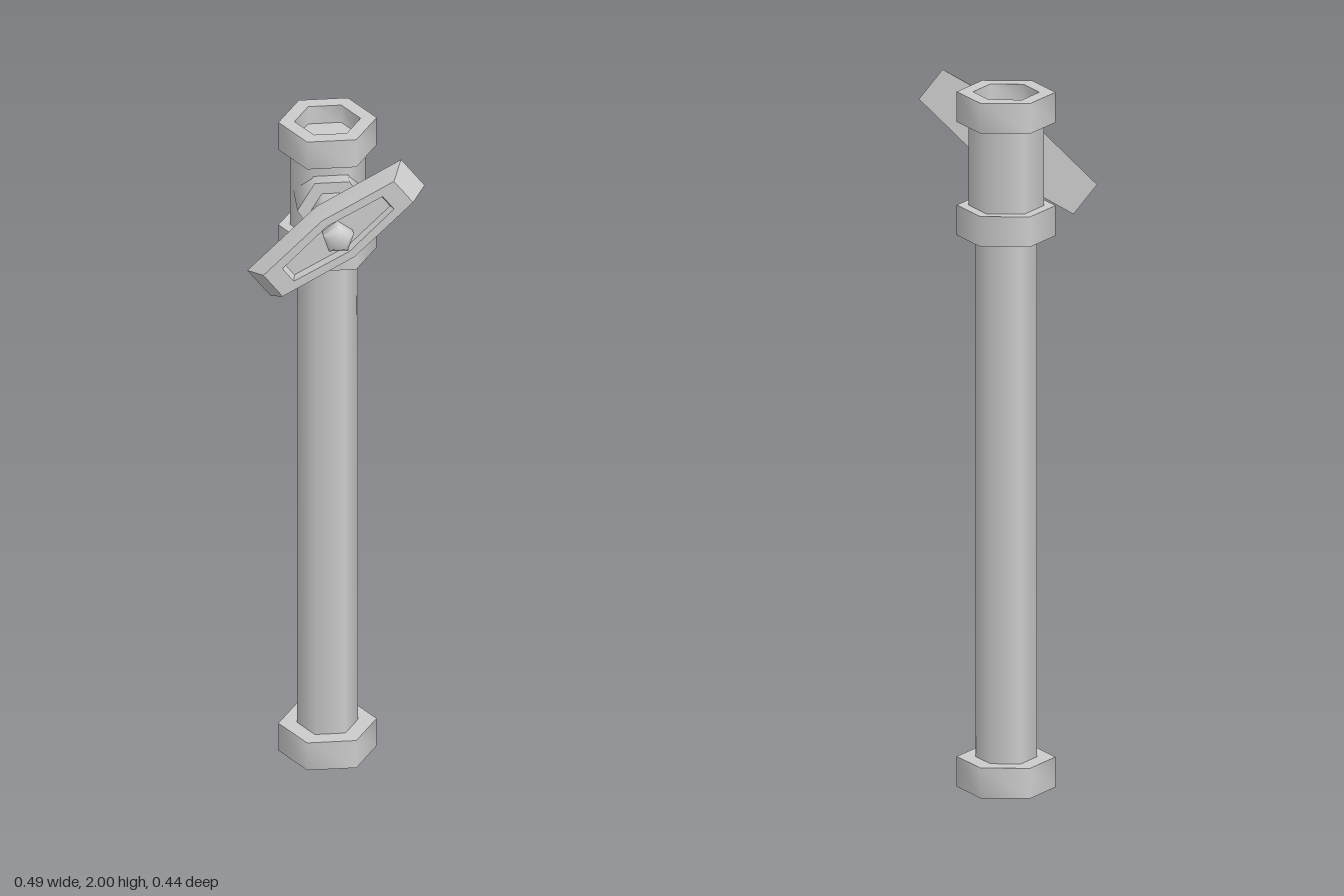
import * as THREE from 'three';
import { toCreasedNormals } from 'three/addons/utils/BufferGeometryUtils.js';

const material = new THREE.MeshStandardMaterial({ color: 0xcccccc });
const PIPE_Z = -0.1;   // axis of the upright pipe
const VALVE_Y = 1.79;  // height of the valve axis

// Faceted turned solid: smooth around, sharp at the rims
function turned(profile, sides, phase) {
  const points = profile.map(([r, y]) => new THREE.Vector2(r, y));
  return toCreasedNormals(new THREE.LatheGeometry(points, sides, phase), 1.3);
}

// Closed skin over a series of rings, each listed counter-clockwise as seen from +z
function loft(rings) {
  const n = rings[0].length;
  const index = [];
  for (let r = 0; r < rings.length - 1; r++) {
    for (let i = 0; i < n; i++) {
      const a = r * n + i, b = r * n + (i + 1) % n;
      index.push(a, b, b + n, a, b + n, a + n);
    }
  }
  const geometry = new THREE.BufferGeometry();
  geometry.setAttribute('position', new THREE.Float32BufferAttribute(rings.flat(2), 3));
  geometry.setIndex(index);
  return toCreasedNormals(geometry, 0.7);
}

// Long hexagon: half length, half width at the ends and half width in the middle
function longHexagon(length, end, middle, z) {
  return [
    [length, -end, z], [length, end, z], [0, middle, z],
    [-length, end, z], [-length, -end, z], [0, -middle, z],
  ];
}

export function createModel() {
  const model = new THREE.Group();

  function add(name, geometry, x, y, z, parent = model) {
    const mesh = new THREE.Mesh(geometry, material);
    mesh.name = name;
    mesh.position.set(x, y, z);
    parent.add(mesh);
    return mesh;
  }

  // Hexagonal bar standing between two heights
  function upright(name, radius, y0, y1) {
    const bar = new THREE.CylinderGeometry(radius, radius, y1 - y0, 6, 1, false, Math.PI / 6);
    add(name, bar, 0, (y0 + y1) / 2, PIPE_Z);
  }
  upright('pipe', 0.085, 0.03, 1.6);
  upright('valveBody', 0.105, 1.6, 1.94);
  upright('middleCollar', 0.137, 1.587, 1.674);

  // End collars with a hexagonal socket
  const socketed = [[0, 0], [0.137, 0], [0.137, 0.087], [0.092, 0.087], [0.092, 0.032], [0, 0.032]];
  add('topCollar', turned(socketed, 6, Math.PI / 6), 0, 1.913, PIPE_Z);
  const bottom = add('bottomCollar', turned(socketed, 6, Math.PI / 6), 0, 0.087, PIPE_Z);
  bottom.rotation.x = Math.PI;
  // The pipe stops above the socket floor
  model.getObjectByName('pipe').scale.y = 1.53 / 1.57;
  model.getObjectByName('pipe').position.y = 0.835;

  // Valve neck and stem, pointing forward
  function forward(name, radius, z0, z1) {
    const bar = new THREE.CylinderGeometry(radius, radius, z1 - z0, 6, 1, false, Math.PI / 6);
    add(name, bar.rotateX(Math.PI / 2), 0, VALVE_Y, (z0 + z1) / 2);
  }
  forward('valveNeck', 0.097, PIPE_Z, 0.031);
  forward('valveStem', 0.058, 0, 0.15);

  // Tilted handle with bevelled sides and a shallow recess
  const handle = add('handle', loft([
    longHexagon(0, 0, 0, 0.137),
    longHexagon(0.27, 0.054, 0.09, 0.137),
    longHexagon(0.229, 0.044, 0.075, 0.2),
    longHexagon(0.176, 0.026, 0.052, 0.2),
    longHexagon(0.168, 0.022, 0.046, 0.178),
    longHexagon(0, 0, 0, 0.178),
  ]), 0, VALVE_Y, 0);
  handle.rotation.z = THREE.MathUtils.degToRad(37.5);

  // Five-sided nut holding the handle
  const nut = turned([[0.045, 0], [0.045, 0.038], [0.03, 0.052], [0, 0.052]], 5, Math.PI);
  add('handleNut', nut.rotateX(Math.PI / 2), 0, VALVE_Y, 0.165);

  return model;
}
